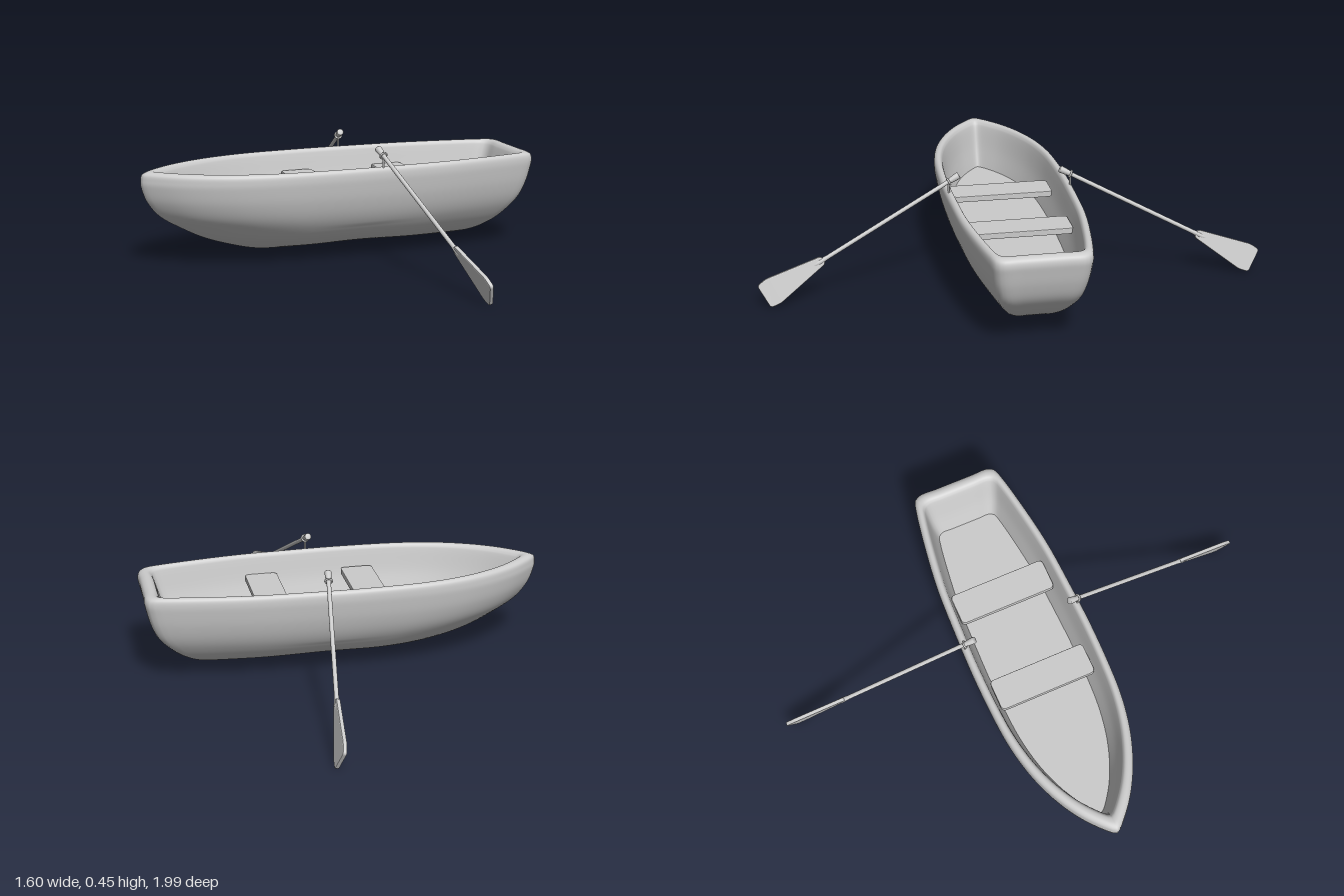
import * as THREE from 'three';
import { mergeVertices } from 'three/addons/utils/BufferGeometryUtils.js';

const material = new THREE.MeshStandardMaterial({ color: 0xcccccc });
const v3 = (x, y, z) => new THREE.Vector3(x, y, z);

function addMesh(parent, name, geometry) {
  const mesh = new THREE.Mesh(geometry, material);
  mesh.name = name;
  parent.add(mesh);
  return mesh;
}

// Plan outline at the gunwale: u runs 0 (bow) to 1 (stern), z is the half width
function planOutline(count) {
  const half = [[0.008, 0.02], [0.065, 0.1], [0.125, 0.157], [0.19, 0.2], [0.25, 0.226], [0.31, 0.242],
    [0.375, 0.25], [0.5, 0.255], [0.625, 0.25], [0.75, 0.24], [0.875, 0.214], [0.965, 0.188],
    [0.99, 0.176], [1, 0.15], [1, 0.08]];
  const port = half.map(([u, z]) => v3(u, 0, z));
  const starboard = half.map(([u, z]) => v3(u, 0, -z)).reverse();
  const curve = new THREE.CatmullRomCurve3([v3(0, 0, 0), ...port, v3(1, 0, 0), ...starboard], true);
  return curve.getSpacedPoints(count).slice(0, count);
}

// Levels from the keel up the outside, over the rim and down to the floor:
// [y, bow x, stern x, width factor]
const LEVELS = [
  [0.037, -0.25, 0.45, 0], [0.041, -0.33, 0.51, 0.12], [0.06, -0.42, 0.585, 0.36],
  [0.1, -0.545, 0.655, 0.59], [0.15, -0.645, 0.71, 0.755], [0.2, -0.725, 0.75, 0.865],
  [0.26, -0.775, 0.775, 0.945], [0.32, -0.798, 0.79, 0.99], [0.35, -0.8, 0.795, 1],
  [0.37, -0.795, 0.79, 0.99], [0.38, -0.775, 0.775, 0.955], [0.38, -0.752, 0.758, 0.91],
  [0.371, -0.737, 0.745, 0.88], [0.35, -0.725, 0.735, 0.86], [0.27, -0.7, 0.71, 0.8],
  [0.19, -0.67, 0.68, 0.71],
];

function levelRings(outline, steps) {
  const spline = (points) => new THREE.CatmullRomCurve3(points, false, 'catmullrom', 0.5);
  const heights = spline(LEVELS.map(([y, , , w]) => v3(y, w, 0)));
  const ends = spline(LEVELS.map(([, bow, stern]) => v3(bow, stern, 0)));
  const rings = [];
  for (let j = 0; j <= steps; j++) {
    const { x: y, y: w } = heights.getPoint(j / steps);
    const { x: bow, y: stern } = ends.getPoint(j / steps);
    rings.push(outline.map((p) => {
      const x = bow + p.x * (stern - bow);
      // slight rise of the keel amidships
      const rise = y < 0.15 ? 0.008 * (1 - w) * Math.exp(-(((x - 0.07) / 0.16) ** 2)) : 0;
      return v3(x, y + rise, p.z * w);
    }));
  }
  return rings;
}

function loft(rings) {
  const n = rings[0].length;
  const index = [];
  for (let j = 0; j < rings.length - 1; j++) {
    for (let i = 0; i < n; i++) {
      const k = (i + 1) % n;
      const a = j * n + i, b = j * n + k;
      index.push(a, b, b + n, a, b + n, a + n);
    }
  }
  const geometry = new THREE.BufferGeometry().setFromPoints(rings.flat());
  geometry.setIndex(index);
  const merged = mergeVertices(geometry, 1e-5);
  merged.computeVertexNormals();
  return merged;
}

function floorDisc(ring) {
  const index = ring.flatMap((_, i) => [0, i + 1, ((i + 1) % ring.length) + 1]);
  const geometry = new THREE.BufferGeometry().setFromPoints([v3(0, ring[0].y, 0), ...ring]);
  geometry.setIndex(index);
  geometry.computeVertexNormals();
  return geometry;
}

// Rounded polygon: each corner is cut back by r and bridged with a curve
function roundedShape(corners, r) {
  const shape = new THREE.Shape();
  const pts = corners.map(([x, y]) => new THREE.Vector2(x, y));
  pts.forEach((p, i) => {
    const prev = pts[(i + pts.length - 1) % pts.length];
    const next = pts[(i + 1) % pts.length];
    const a = p.clone().add(prev.clone().sub(p).setLength(r));
    const b = p.clone().add(next.clone().sub(p).setLength(r));
    if (i === 0) shape.moveTo(a.x, a.y);
    else shape.lineTo(a.x, a.y);
    shape.quadraticCurveTo(p.x, p.y, b.x, b.y);
  });
  shape.closePath();
  return shape;
}

function seatGeometry() {
  const shape = roundedShape([[-0.065, -0.2], [0.065, -0.2], [0.065, 0.2], [-0.065, 0.2]], 0.02);
  const geometry = new THREE.ExtrudeGeometry(shape, {
    depth: 0.018, bevelEnabled: true, bevelThickness: 0.003, bevelSize: 0.003, bevelOffset: -0.003, bevelSegments: 2,
  });
  return geometry.rotateX(-Math.PI / 2);
}

// Oar built along local +y from the grip, blade lying in the local xy plane
function createOar(side) {
  const oar = new THREE.Group();
  oar.name = side > 0 ? 'frontOar' : 'backOar';

  const profile = [[0, 0], [0.012, 0], [0.014, 0.004], [0.012, 0.03], [0.0085, 0.055], [0.0085, 0.6],
    [0.011, 0.63], [0.008, 0.66], [0, 0.67]];
  addMesh(oar, 'oarShaft', new THREE.LatheGeometry(profile.map(([r, y]) => new THREE.Vector2(r, y)), 16));

  const bladeShape = roundedShape([[-0.017, 0.615], [0.017, 0.615], [0.056, 0.84], [0.05, 0.882],
    [-0.05, 0.882], [-0.056, 0.84]], 0.013);
  const blade = new THREE.ExtrudeGeometry(bladeShape, {
    depth: 0.008, bevelEnabled: true, bevelThickness: 0.004, bevelSize: 0.004, bevelOffset: -0.004, bevelSegments: 2,
  });
  addMesh(oar, 'oarBlade', blade.translate(0, 0, -0.004));

  const ring = new THREE.TorusGeometry(0.013, 0.004, 8, 20).rotateX(Math.PI / 2);
  addMesh(oar, 'oarlockRing', ring.translate(0, 0.047, 0));

  const along = v3(0.113, -0.4, 0.77 * side).normalize();
  const across = along.clone().cross(v3(0.97, 0.25, 0)).normalize();
  const normal = across.clone().cross(along);
  oar.applyMatrix4(new THREE.Matrix4().makeBasis(across, along, normal));
  oar.position.set(0.097, 0.447, 0.2 * side);
  return oar;
}

export function createModel() {
  const boat = new THREE.Group();
  boat.name = 'rowingBoat';

  // Hull shell and floor
  const rings = levelRings(planOutline(160), 90);
  addMesh(boat, 'hull', loft(rings));
  addMesh(boat, 'floor', floorDisc(rings[rings.length - 1]));

  // Seats
  for (const x of [-0.1, 0.295]) addMesh(boat, 'seat', seatGeometry()).position.set(x, 0.282, 0);

  // Oars and the pins that hold them
  for (const side of [1, -1]) {
    boat.add(createOar(side));
    const pin = addMesh(boat, 'oarlockPin', new THREE.CylinderGeometry(0.004, 0.004, 0.055, 10));
    pin.position.set(0.103, 0.397, 0.241 * side);
  }
  return boat;
}
